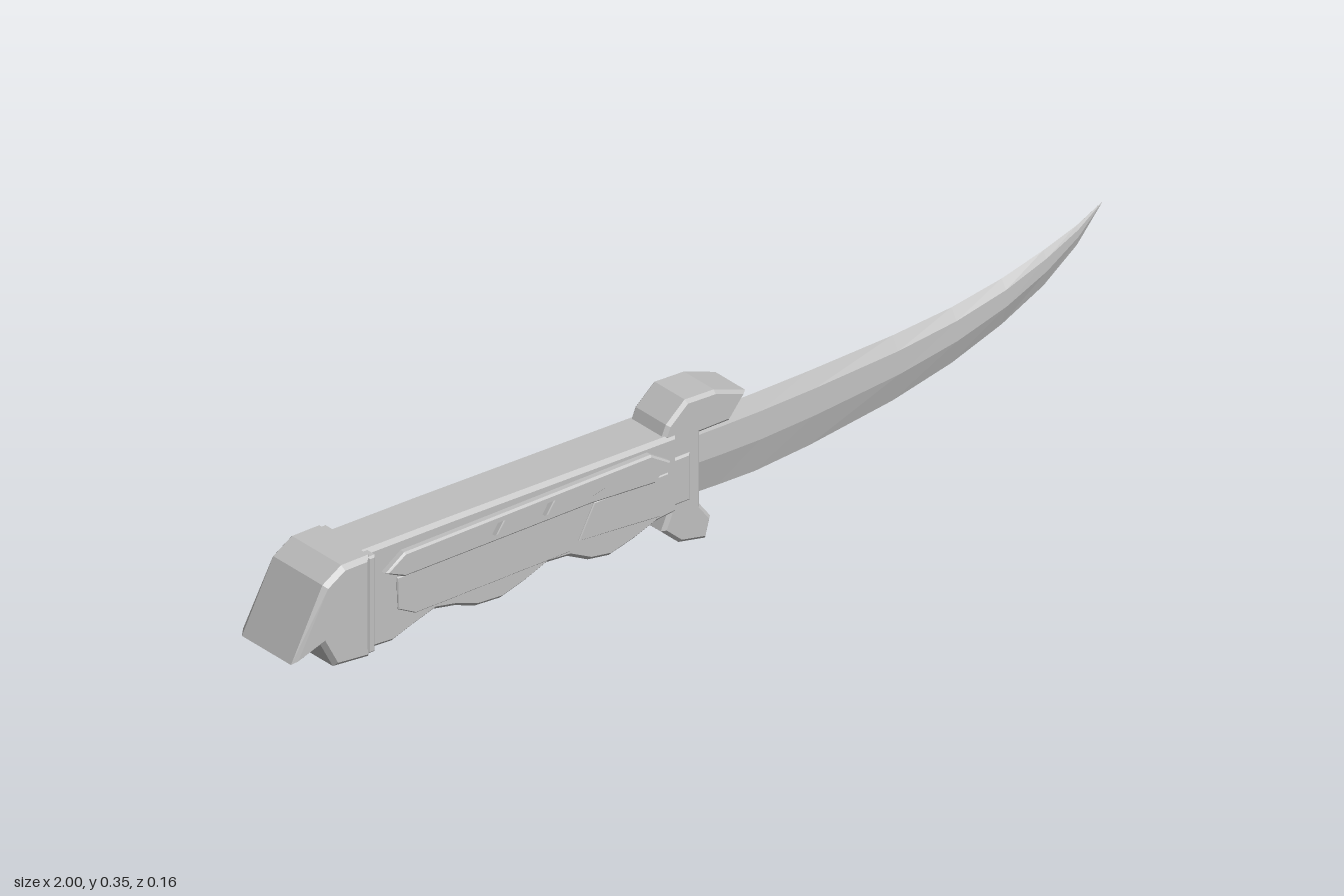
import * as THREE from 'three';

const steel = new THREE.MeshStandardMaterial({ color: 0xbebebe });
steel.name = 'grey steel';

const toPath = (pts, Type = THREE.Shape) => new Type(pts.map(([x, y]) => new THREE.Vector2(x, y)));

// Chamfered slab, symmetric about z = 0, with half thickness `half`
function slab(name, pts, half, bevel, holes = []) {
  const shape = toPath(pts);
  holes.forEach((h) => shape.holes.push(toPath(h, THREE.Path)));
  const geo = new THREE.ExtrudeGeometry(shape, {
    depth: 2 * (half - bevel), bevelEnabled: bevel > 0, bevelThickness: bevel,
    bevelSize: bevel, bevelOffset: -bevel, bevelSegments: 1,
  });
  geo.translate(0, 0, -(half - bevel));
  const mesh = new THREE.Mesh(geo, steel);
  mesh.name = name;
  return mesh;
}

// Curved blade: six-sided sections [x, bottom, top, half thickness] closing to the tip
function blade() {
  const sections = [
    [-0.03, 0.075, 0.235, 0.018], [0.08, 0.07, 0.234, 0.018], [0.17, 0.068, 0.234, 0.018],
    [0.3, 0.077, 0.235, 0.018], [0.5, 0.102, 0.24, 0.018], [0.64, 0.132, 0.25, 0.017],
    [0.76, 0.172, 0.269, 0.015], [0.86, 0.219, 0.294, 0.01], [0.94, 0.277, 0.319, 0.005],
    [1, 0.346, 0.347, 0.0005],
  ];
  const ring = ([x, b, t, w]) => {
    const at = (f, z) => [x, b + (t - b) * f, z];
    return [at(0, 0), at(0.45, w), at(0.8, w * 0.85), at(1, 0), at(0.8, -w * 0.85), at(0.45, -w)];
  };
  const pos = [];
  for (let i = 0; i < sections.length - 1; i++) {
    const a = ring(sections[i]), c = ring(sections[i + 1]);
    for (let j = 0; j < 6; j++) {
      const k = (j + 1) % 6;
      pos.push(...a[j], ...c[j], ...c[k], ...a[j], ...c[k], ...a[k]);
    }
  }
  const geo = new THREE.BufferGeometry();
  geo.setAttribute('position', new THREE.Float32BufferAttribute(pos, 3));
  geo.computeVertexNormals();
  const mesh = new THREE.Mesh(geo, steel);
  mesh.name = 'blade';
  return mesh;
}

export function createModel() {
  const knife = new THREE.Group();
  knife.name = 'knife';
  knife.add(blade());

  // Grip with finger scallops along the underside
  knife.add(slab('grip', [
    [-0.82, 0.265], [-0.6, 0.262], [-0.06, 0.25], [-0.06, 0.085], [-0.11, 0.08], [-0.16, 0.062],
    [-0.22, 0.047], [-0.27, 0.055], [-0.32, 0.08], [-0.37, 0.084], [-0.42, 0.065], [-0.48, 0.048],
    [-0.54, 0.052], [-0.59, 0.07], [-0.64, 0.08], [-0.69, 0.065], [-0.74, 0.048], [-0.82, 0.053],
  ], 0.056, 0.008));

  // Hooked guard
  knife.add(slab('guard', [
    [-0.09, 0.25], [-0.08, 0.272], [-0.035, 0.31], [0.035, 0.307], [0.11, 0.28], [0.07, 0.23],
    [0, 0.23], [0, 0.077], [0.026, 0.043], [0.014, 0], [-0.05, 0.013], [-0.092, 0.05],
    [-0.076, 0.085], [-0.076, 0.22],
  ], 0.051, 0.007));
  // Collar joining the grip and guard
  knife.add(slab('collar', [
    [-0.1, 0.2], [-0.03, 0.2], [-0.03, 0.1], [-0.1, 0.1],
  ], 0.056, 0.004));

  // Pommel with pointed heel and a front rim
  knife.add(slab('pommel', [
    [-1, 0.097], [-0.925, 0.24], [-0.88, 0.267], [-0.815, 0.267], [-0.815, 0.052],
    [-0.9, 0.06], [-0.93, 0.116],
  ], 0.081, 0.009));
  knife.add(slab('pommelRim', [
    [-0.818, 0.262], [-0.8, 0.262], [-0.8, 0.057], [-0.818, 0.057],
  ], 0.076, 0.004));

  // Raised side plate with a recessed window, crossed by slanted bars
  knife.add(slab('sidePlate', [
    [-0.77, 0.208], [-0.725, 0.238], [-0.135, 0.238], [-0.088, 0.208], [-0.125, 0.175], [-0.28, 0.185],
    [-0.725, 0.187],
  ], 0.071, 0.004, [[
    [-0.63, 0.211], [-0.555, 0.228], [-0.28, 0.228], [-0.22, 0.211], [-0.28, 0.196], [-0.555, 0.196],
  ]]));
  [-0.49, -0.37].forEach((x) => knife.add(slab('windowBar', [
    [x - 0.015, 0.194], [x + 0.003, 0.194], [x + 0.028, 0.23], [x + 0.01, 0.23],
  ], 0.068, 0.002)));

  // Shallow lower grip panels
  knife.add(slab('lowerPanel', [
    [-0.735, 0.183], [-0.732, 0.115], [-0.69, 0.093], [-0.32, 0.093], [-0.277, 0.183],
  ], 0.059, 0.002));
  knife.add(slab('frontPanel', [
    [-0.262, 0.178], [-0.3, 0.108], [-0.2, 0.1], [-0.105, 0.092], [-0.085, 0.115], [-0.085, 0.178],
  ], 0.059, 0.002));

  return knife;
}
